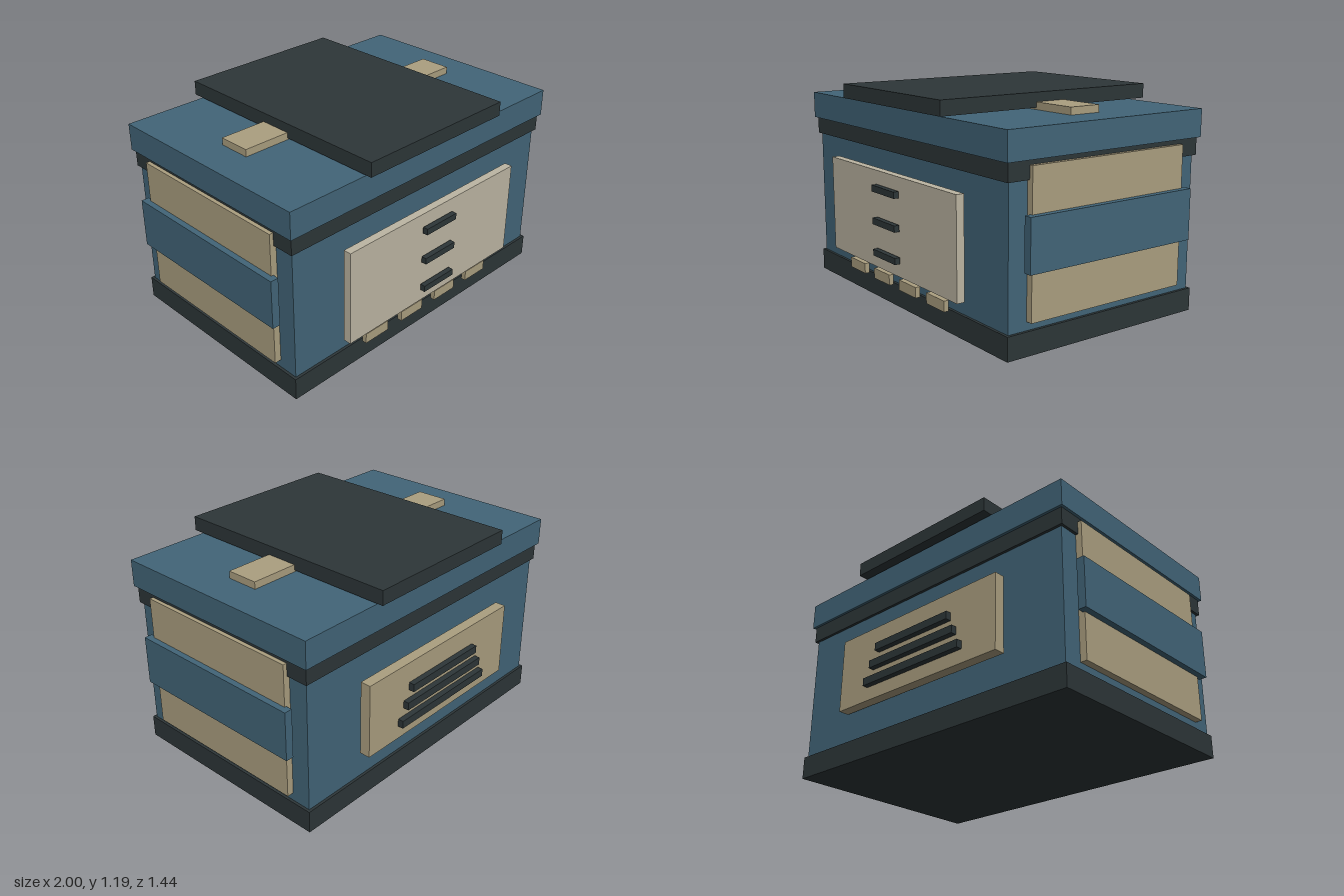
import * as THREE from 'three';

const paint = (color) => new THREE.MeshStandardMaterial({ color, flatShading: true });

export function createModel() {
  const model = new THREE.Group();
  const blue = paint(0x426578);
  const dark = paint(0x2d3638);
  const tan = paint(0xab9f80);
  const cream = paint(0xbdb6a3);

  // Box given by its [min, max] range on each axis
  function block(name, material, [x0, x1], [y0, y1], [z0, z1]) {
    const mesh = new THREE.Mesh(new THREE.BoxGeometry(x1 - x0, y1 - y0, z1 - z0), material);
    mesh.position.set((x0 + x1) / 2, (y0 + y1) / 2, (z0 + z1) / 2);
    mesh.name = name;
    model.add(mesh);
  }

  // Main case: base, body, band and lid
  block('base', dark, [-0.945, 0.945], [0, 0.125], [-0.625, 0.615]);
  block('body', blue, [-0.93, 0.93], [0.02, 0.96], [-0.61, 0.6]);
  block('band', dark, [-0.945, 0.945], [0.855, 0.95], [-0.625, 0.615]);
  block('lid', blue, [-0.96, 0.96], [0.95, 1.1], [-0.64, 0.63]);

  // Cross bar on the lid carrying the top slab
  block('topBar', tan, [-0.76, 0.76], [1.1, 1.14], [-0.1, 0.085]);
  block('topSlab', dark, [-0.49, 0.49], [1.11, 1.19], [-0.685, 0.675]);

  // Front panel with raised horizontal bars
  block('frontPanel', cream, [-0.635, 0.635], [0.215, 0.757], [0.64, 0.685]);
  for (const y of [0.31, 0.485, 0.665]) {
    block('frontBar', dark, [-0.115, 0.115], [y - 0.018, y + 0.018], [0.692, 0.722]);
  }

  // Row of four small buttons under the front panel
  for (let i = 0; i < 4; i++) {
    const x = -0.41 + i * 0.27;
    block('button', tan, [x - 0.083, x + 0.083], [0.125, 0.183], [0.633, 0.66]);
  }

  // Side panels, each crossed by a strap
  for (const side of [-1, 1]) {
    const span = (a, b) => (side > 0 ? [a, b] : [-b, -a]);
    block('sidePanel', tan, span(0.925, 0.967), [0.17, 0.925], [-0.5, 0.49]);
    block('sideStrap', blue, span(0.955, 1), [0.42, 0.695], [-0.535, 0.525]);
  }

  // Back panel with three slats that shorten towards the top
  block('backPanel', tan, [-0.575, 0.575], [0.285, 0.707], [-0.688, -0.628]);
  [0.35, 0.31, 0.27].forEach((half, i) => {
    const y = 0.383 + i * 0.092;
    block('backSlat', dark, [-half, half], [y - 0.022, y + 0.022], [-0.72, -0.685]);
  });

  return model;
}
